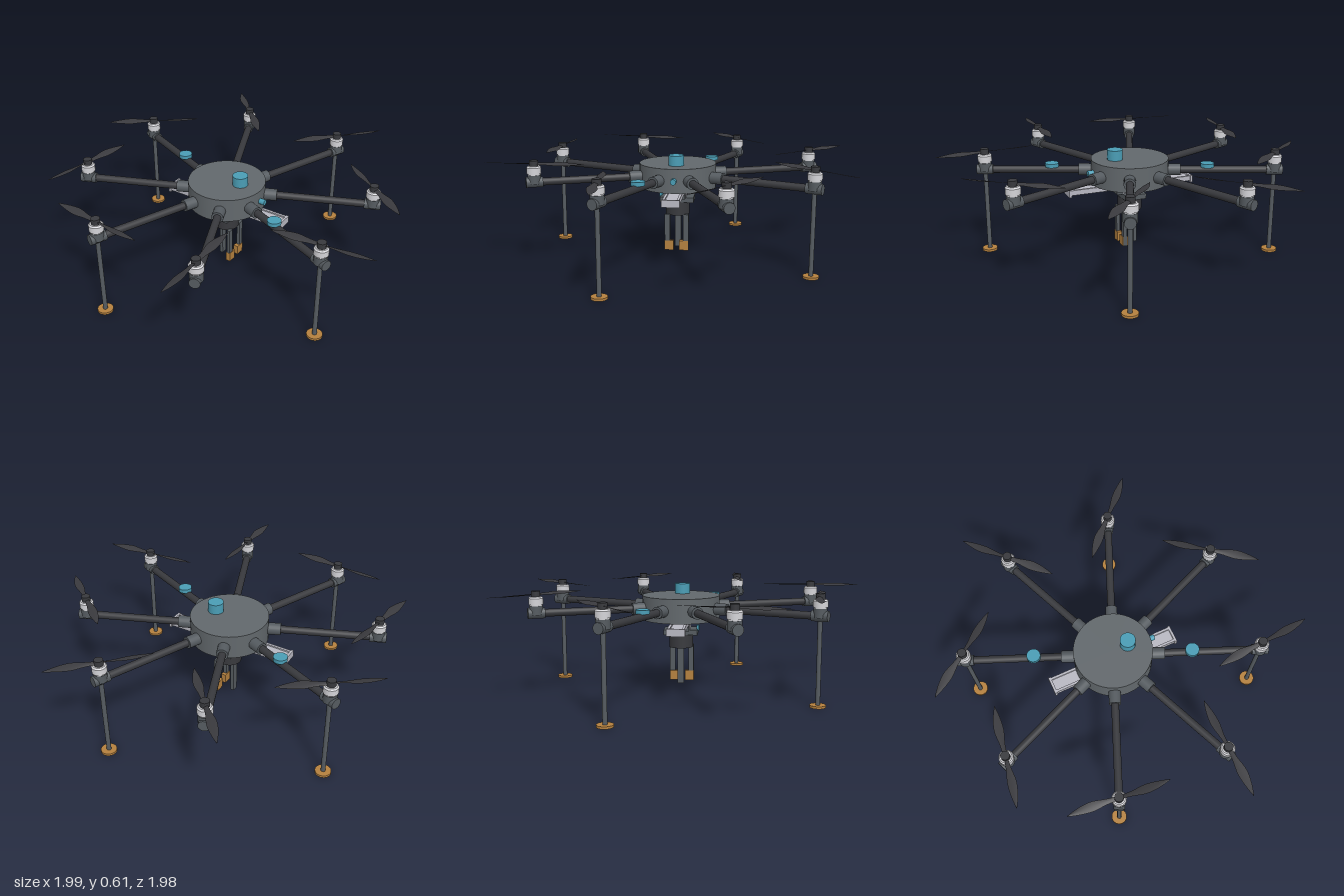
import * as THREE from 'three';

const mat = (name, color, side = THREE.FrontSide) => {
  const m = new THREE.MeshStandardMaterial({ color, side });
  m.name = name;
  return m;
};

export function createModel() {
  const M = {
    shell: mat('shell grey', 0x62686c),
    carbon: mat('carbon', 0x38393d),
    blade: mat('blade carbon', 0x3a3a3e, THREE.DoubleSide),
    joint: mat('joint grey', 0x555b60),
    silver: mat('silver', 0xd4d4d8),
    rail: mat('rail aluminium', 0xb8b8c2),
    teal: mat('teal', 0x4a9db5),
    copper: mat('copper', 0xb5813f),
  };

  const add = (parent, name, geo, material, x = 0, y = 0, z = 0) => {
    const m = new THREE.Mesh(geo, material);
    m.name = name;
    m.position.set(x, y, z);
    parent.add(m);
    return m;
  };
  // Upright cylinder between two heights
  const post = (parent, name, material, r, y0, y1, x = 0, z = 0, r2 = r, seg = 28) =>
    add(parent, name, new THREE.CylinderGeometry(r2, r, y1 - y0, seg), material, x, (y0 + y1) / 2, z);
  // Cylinder lying along local x
  const tube = (parent, name, material, r, x0, x1, y, z = 0) =>
    add(parent, name, new THREE.CylinderGeometry(r, r, x1 - x0, 20).rotateZ(Math.PI / 2), material, (x0 + x1) / 2, y, z);
  const box = (parent, name, material, x0, x1, y0, y1, z0, z1) =>
    add(parent, name, new THREE.BoxGeometry(x1 - x0, y1 - y0, z1 - z0), material,
      (x0 + x1) / 2, (y0 + y1) / 2, (z0 + z1) / 2);

  // Twisted propeller blade, made by bending a flat strip
  const outline = new THREE.SplineCurve([[0, 0.011], [0.2, 0.015], [0.45, 0.025], [0.65, 0.022],
    [0.85, 0.012], [1, 0.001]].map(p => new THREE.Vector2(...p)));
  const bladeGeo = (hand) => {
    const g = new THREE.PlaneGeometry(1, 2, 18, 4).rotateX(-Math.PI / 2);
    const p = g.attributes.position;
    for (let i = 0; i < p.count; i++) {
      const o = outline.getPoint(p.getX(i) + 0.5);
      const v = p.getZ(i);
      const pitch = hand * (0.36 - 0.26 * o.x);
      const w = v * o.y;
      p.setXYZ(i, 0.018 + 0.259 * o.x, w * Math.sin(pitch) + 0.002 * (1 - v * v),
        w * Math.cos(pitch) + hand * 0.004 * Math.sin(o.x * Math.PI));
    }
    g.computeVertexNormals();
    return g;
  };
  const blades = [bladeGeo(1), bladeGeo(-1)];

  const root = new THREE.Group();
  root.name = 'cargoDrone';
  const craft = new THREE.Group();
  craft.name = 'craft';
  craft.position.set(-0.03, 0, -0.036);
  root.add(craft);

  // Central hub
  post(craft, 'hubBody', M.shell, 0.217, 0.42, 0.555, 0, 0, 0.217, 64);
  post(craft, 'beacon', M.teal, 0.043, 0.555, 0.612, 0.088, 0);
  tube(craft, 'sideSensor', M.teal, 0.016, 0.21, 0.25, 0.49);

  // Eight arms, each with a motor and propeller; every other arm has a leg
  const R = 0.81, armY = 0.487;
  const propAngles = [-5, 90, 5, -80, -38, 47, -47, 38];
  propAngles.forEach((deg, i) => {
    const a = (22.5 + 45 * i) * Math.PI / 180;
    const arm = new THREE.Group();
    arm.name = 'arm' + (i + 1);
    arm.rotation.y = -a;
    craft.add(arm);
    tube(arm, 'armSocket', M.joint, 0.033, 0.19, 0.285, armY);
    tube(arm, 'armTube', M.carbon, 0.021, 0.27, R, armY);
    tube(arm, 'motorClamp', M.joint, 0.029, R - 0.045, R + 0.045, armY);
    post(arm, 'motorMount', M.joint, 0.036, 0.48, 0.528, R);
    post(arm, 'motorBase', M.silver, 0.034, 0.528, 0.535, R);
    post(arm, 'motorBell', M.silver, 0.039, 0.535, 0.568, R);
    post(arm, 'motorCap', M.silver, 0.039, 0.568, 0.576, R, 0, 0.032);
    post(arm, 'propellerHub', M.carbon, 0.024, 0.576, 0.606, R);

    const prop = new THREE.Group();
    prop.name = 'propeller';
    prop.position.set(R, 0.588, 0);
    prop.rotation.y = a - deg * Math.PI / 180;
    arm.add(prop);
    for (const turn of [0, Math.PI])
      add(prop, 'blade', blades[i % 2], M.blade).rotation.y = turn;

    if (i % 2 === 0) {
      post(arm, 'legTube', M.joint, 0.0125, 0.01, 0.47, R, 0, 0.0125, 16);
      post(arm, 'foot', M.copper, 0.043, 0, 0.013, R);
    }
    // Antenna pucks on two opposite arms
    if (i % 4 === 0) post(arm, 'antennaPuck', M.teal, 0.038, 0.503, 0.525, 0.435);
  });

  // Slide rail under the hub: web plate, side bars and end stops
  box(craft, 'railPlate', M.rail, -0.365, 0.365, 0.402, 0.41, -0.04, 0.04);
  for (const s of [-1, 1]) {
    box(craft, 'railBar', M.rail, -0.365, 0.365, 0.39, 0.418, s * 0.039 - 0.007, s * 0.039 + 0.007);
    box(craft, 'railStop', M.rail, s * 0.367 - 0.007, s * 0.367 + 0.007, 0.38, 0.42, -0.05, 0.05);
  }

  // Carriage and gripper
  box(craft, 'carriageBlock', M.rail, -0.06, 0.06, 0.365, 0.402, -0.052, 0.052);
  box(craft, 'carriagePlate', M.joint, -0.095, 0.095, 0.362, 0.388, -0.05, 0.05);
  box(craft, 'gripperFlange', M.joint, -0.062, 0.062, 0.335, 0.364, -0.095, 0.095);
  box(craft, 'carriageSensor', M.teal, -0.016, 0.016, 0.355, 0.384, 0.088, 0.103);
  post(craft, 'gripperBody', M.carbon, 0.068, 0.26, 0.335);
  for (let k = 0; k < 3; k++) {
    const finger = new THREE.Group();
    finger.name = 'finger' + (k + 1);
    craft.add(finger);
    if (k === 0) {
      box(finger, 'fingerBar', M.joint, -0.038, -0.018, 0.055, 0.265, -0.018, 0.018);
    } else {
      const s = k === 1 ? 1 : -1, z = s * 0.053;
      box(finger, 'fingerBar', M.joint, 0.044, 0.063, 0.055, 0.265, z - 0.015, z + 0.015);
      box(finger, 'fingerPad', M.copper, 0.038, 0.066, 0.055, 0.11, s * 0.042 - 0.024, s * 0.042 + 0.027);
    }
  }
  return root;
}
